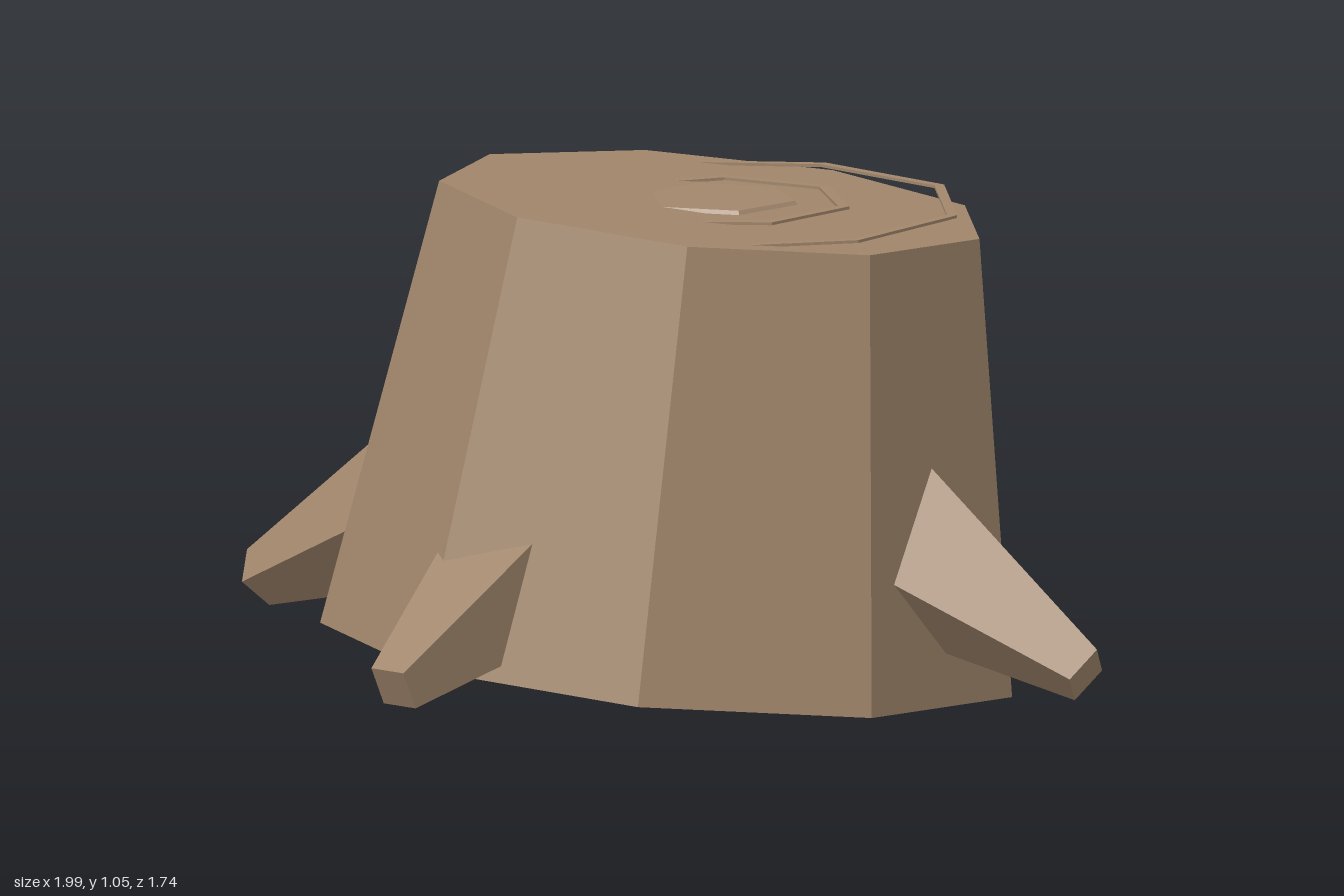
import * as THREE from 'three';

const wood = new THREE.MeshStandardMaterial({ color: 0xa1866b, flatShading: true });
wood.name = 'wood';

function part(name, geometry, parent) {
  const mesh = new THREE.Mesh(geometry, wood);
  mesh.name = name;
  parent.add(mesh);
  return mesh;
}

// Four-sided tapered root running down and outwards to its tip
function addRoot(parent, name, { tipAngle, tipRadius, axisAngle, roll }) {
  const rad = THREE.MathUtils.degToRad;
  const a = rad(axisAngle), tilt = rad(26), len = 0.62;
  const geometry = new THREE.CylinderGeometry(0.062, 0.217, len, 4, 1, false, rad(roll));
  geometry.translate(0, -len / 2, 0);
  const side = new THREE.Vector3(-Math.sin(a), 0, Math.cos(a));
  const along = new THREE.Vector3(
    Math.cos(a) * Math.cos(tilt), -Math.sin(tilt), Math.sin(a) * Math.cos(tilt));
  const up = new THREE.Vector3().crossVectors(side, along);
  const root = part(name, geometry, parent);
  root.quaternion.setFromRotationMatrix(new THREE.Matrix4().makeBasis(side, along, up));
  const t = rad(tipAngle);
  root.position.set(tipRadius * Math.cos(t), 0.115, tipRadius * Math.sin(t));
}

// Thin flat growth ring with a rectangular section
function ringGeometry(outer, inner, height, sides) {
  const profile = [[outer, 0], [outer, height], [inner, height], [inner, 0], [outer, 0]]
    .map(([x, y]) => new THREE.Vector2(x, y));
  return new THREE.LatheGeometry(profile, sides, Math.PI / 2);
}

export function createModel() {
  const stump = new THREE.Group();
  stump.name = 'treeStump';

  // Leaning nine-sided trunk
  const trunkGeometry = new THREE.CylinderGeometry(0.57, 0.73, 0.94, 9, 1, false, Math.PI / 2);
  trunkGeometry.translate(0, 0.47, 0);
  const trunk = part('trunk', trunkGeometry, stump);
  trunk.position.y = 0.065;
  trunk.quaternion.setFromUnitVectors(
    new THREE.Vector3(0, 1, 0), new THREE.Vector3(0.086, 1, -0.035).normalize());

  // Level growth rings, partly sunk into the sloping cut
  const rings = new THREE.Group();
  rings.name = 'growthRings';
  rings.position.set(0.09, 0, -0.035);
  stump.add(rings);
  part('outerRing', ringGeometry(0.51, 0.488, 0.006, 9), rings).position.y = 0.993;
  part('middleRing', ringGeometry(0.28, 0.255, 0.006, 7), rings).position.y = 1.0;
  part('innerRing', new THREE.CylinderGeometry(0.163, 0.17, 0.008, 6, 1, false, Math.PI / 2), rings)
    .position.y = 1.008;

  // Roots in opposite pairs
  const roots = new THREE.Group();
  roots.name = 'roots';
  stump.add(roots);
  addRoot(roots, 'leftRoot', { tipAngle: 17.5, tipRadius: 1.017, axisAngle: 17, roll: 0 });
  addRoot(roots, 'rightRoot', { tipAngle: 197.5, tipRadius: 1.017, axisAngle: 197, roll: 0 });
  addRoot(roots, 'frontRoot', { tipAngle: 113.5, tipRadius: 0.91, axisAngle: 116, roll: 45 });
  addRoot(roots, 'backRoot', { tipAngle: 293.5, tipRadius: 0.91, axisAngle: 296, roll: 45 });

  return stump;
}
